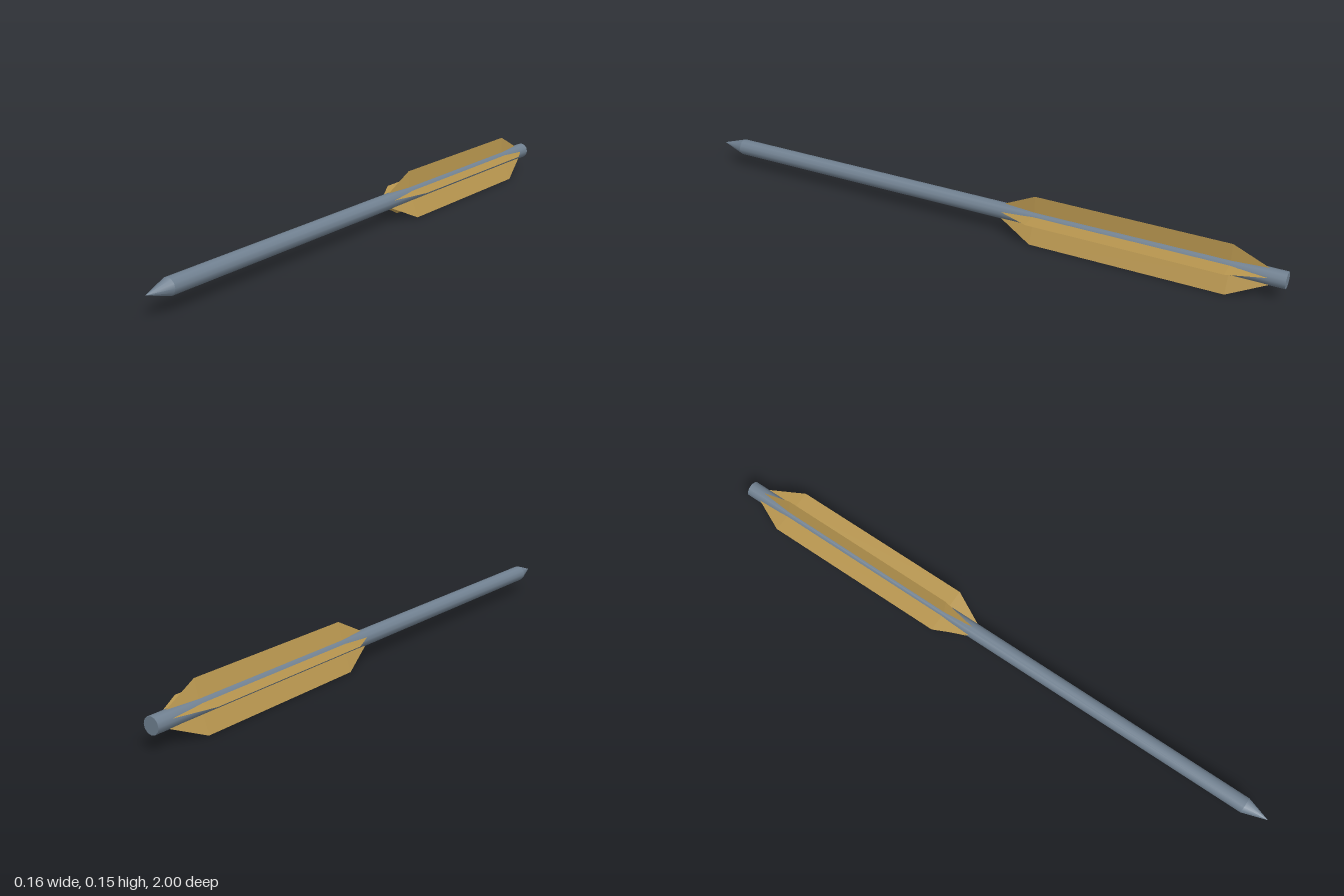
import * as THREE from 'three';

const CX = -0.002, CY = 0.075, R = 0.0265;

// Wedge-shaped fin: triangular section (root a, tip, root b) running along z,
// closing to a point on the shaft at both ends.
function finGeometry([a, tip, b]) {
  const section = [a, tip, b];
  const at = (p, z) => [p[0], p[1], z];
  const mid = [(a[0] + b[0]) / 2, (a[1] + b[1]) / 2];
  const nose = at(mid, -0.09), tail = at(mid, -0.953);
  const pos = [];
  for (let i = 0; i < 3; i++) {
    const p = section[i], q = section[(i + 1) % 3];
    const pf = at(p, -0.203), qf = at(q, -0.203);
    const pk = at(p, -0.833), qk = at(q, -0.833);
    pos.push(...nose, ...pf, ...qf);
    pos.push(...pf, ...pk, ...qk, ...pf, ...qk, ...qf);
    pos.push(...pk, ...tail, ...qk);
  }
  const g = new THREE.BufferGeometry();
  g.setAttribute('position', new THREE.Float32BufferAttribute(pos, 3));
  g.computeVertexNormals();
  return g;
}

export function createModel() {
  const model = new THREE.Group();
  model.name = 'bolt';
  const steel = new THREE.MeshStandardMaterial({ color: 0x708090 });
  steel.name = 'slate steel';
  const gold = new THREE.MeshStandardMaterial({ color: 0xb8964f });
  gold.name = 'tan vane';

  // Shaft
  const shaft = new THREE.Mesh(new THREE.CylinderGeometry(R, R, 1.918, 12).rotateX(Math.PI / 2), steel);
  shaft.name = 'shaft';
  shaft.position.set(CX, CY, -0.041);
  model.add(shaft);

  // Pointed tip
  const point = new THREE.Mesh(new THREE.ConeGeometry(R, 0.082, 12, 1, true).rotateX(Math.PI / 2), steel);
  point.name = 'point';
  point.position.set(CX, CY, 0.959);
  model.add(point);

  // Five fins, each as root, tip, root in counter-clockwise order
  const fins = {
    topFin: [[0.006, 0.098], [0.004, 0.155], [-0.011, 0.098]],
    leftFin: [[0.022, 0.073], [0.078, 0.092], [0.019, 0.09]],
    rightFin: [[-0.022, 0.09], [-0.08, 0.092], [-0.026, 0.076]],
    lowerRightFin: [[-0.023, 0.058], [-0.042, 0.002], [-0.01, 0.051]],
    lowerLeftFin: [[0.007, 0.051], [0.042, 0.002], [0.019, 0.058]],
  };
  for (const [name, section] of Object.entries(fins)) {
    const fin = new THREE.Mesh(finGeometry(section), gold);
    fin.name = name;
    model.add(fin);
  }
  return model;
}
